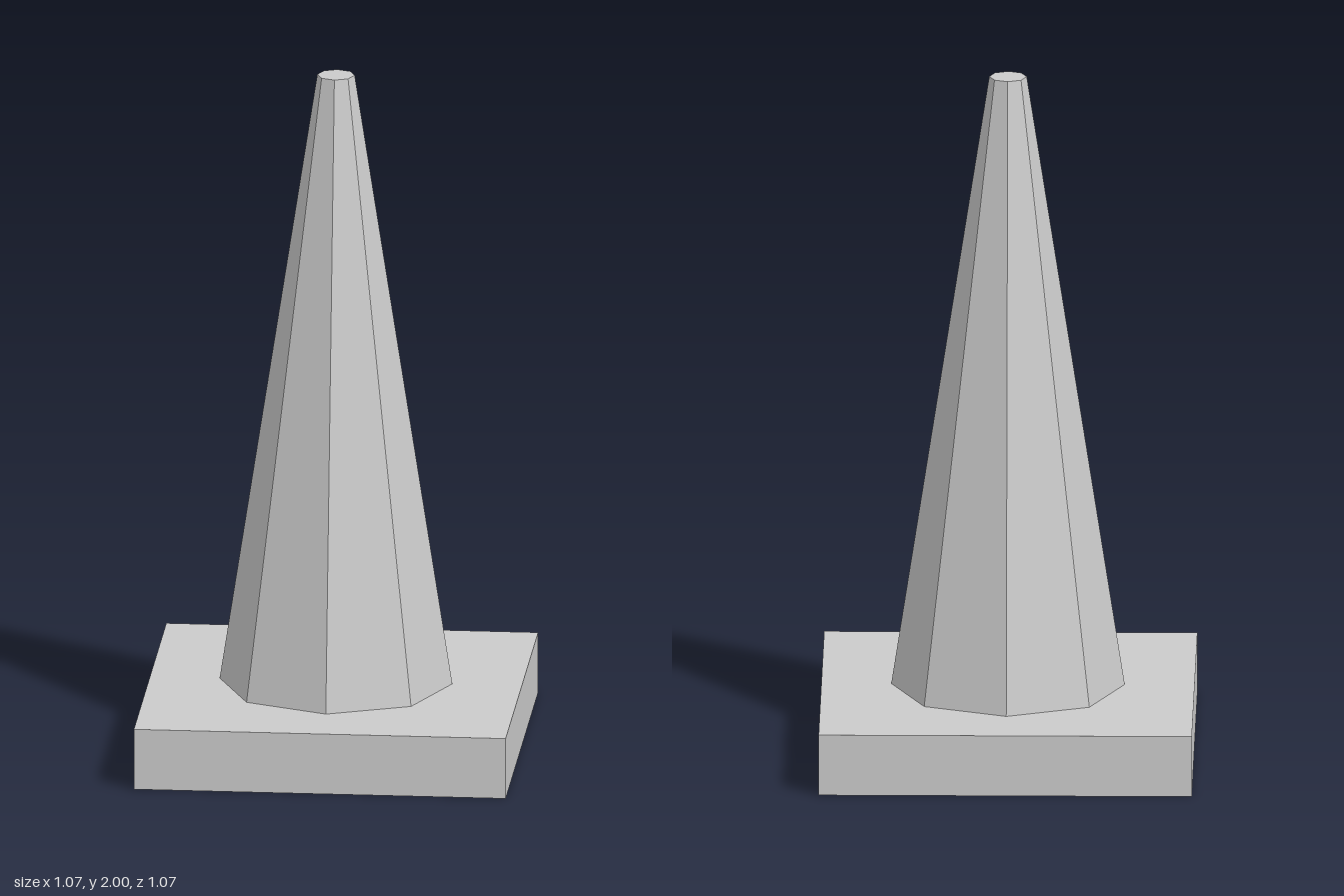
import * as THREE from 'three';

const BASE_WIDTH = 1.074;
const BASE_HEIGHT = 0.18;
const TOTAL_HEIGHT = 2;

export function createModel() {
  const group = new THREE.Group();
  group.name = 'trafficCone';
  const material = new THREE.MeshStandardMaterial({ color: 0xcccccc, flatShading: true });

  // Square foot plate
  const base = new THREE.Mesh(new THREE.BoxGeometry(BASE_WIDTH, BASE_HEIGHT, BASE_WIDTH), material);
  base.name = 'base';
  base.position.y = BASE_HEIGHT / 2;
  group.add(base);

  // Eight-sided tapered body with a flat tip, corners on the x and z axes
  const bodyHeight = TOTAL_HEIGHT - BASE_HEIGHT;
  const body = new THREE.Mesh(new THREE.CylinderGeometry(0.054, 0.336, bodyHeight, 8), material);
  body.name = 'coneBody';
  body.position.y = BASE_HEIGHT + bodyHeight / 2;
  group.add(body);

  return group;
}
